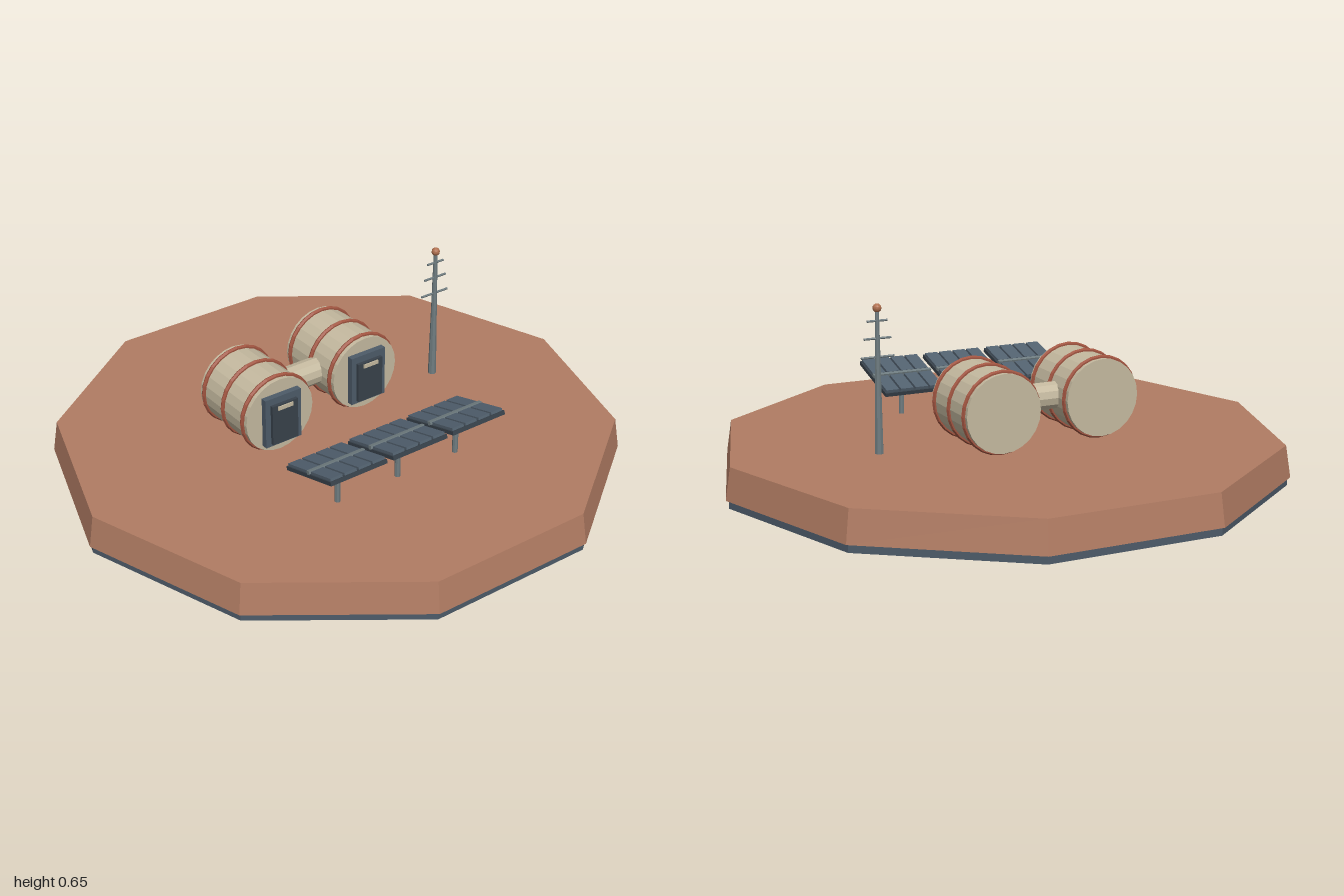
import * as THREE from 'three';

const mat = (name, color) => {
  const m = new THREE.MeshStandardMaterial({ color, flatShading: true });
  m.name = name;
  return m;
};

export function createModel() {
  const soil = mat('rust soil', 0xb17c63);
  const slate = mat('slate', 0x4d5b69);
  const shell = mat('cream shell', 0xc4b99f);
  const band = mat('rust band', 0xa05440);
  const dark = mat('dark frame', 0x38424b);
  const cell = mat('solar cell', 0x52616f);
  const steel = mat('grey steel', 0x6f7c80);
  const copper = mat('copper', 0xb0704f);

  const root = new THREE.Group();
  root.name = 'outpost';
  const group = (name, x, y, z, parent = root) => {
    const g = new THREE.Group();
    g.name = name;
    g.position.set(x, y, z);
    parent.add(g);
    return g;
  };
  const add = (parent, name, geo, material, x = 0, y = 0, z = 0) => {
    const m = new THREE.Mesh(geo, material);
    m.name = name;
    m.position.set(x, y, z);
    parent.add(m);
    return m;
  };
  const box = (w, h, d) => new THREE.BoxGeometry(w, h, d);
  const cyl = (rt, rb, h, n, start = 0) => new THREE.CylinderGeometry(rt, rb, h, n, 1, false, start);

  // Ten-sided ground slab on a slate plinth
  const GROUND = 0.14;
  add(root, 'ground', cyl(0.982, 1, 0.112, 10, Math.PI / 10), soil, 0, 0.084);
  add(root, 'plinth', cyl(0.99, 0.99, 0.028, 10, Math.PI / 10), slate, 0, 0.014);

  // Two banded habitat drums, each with an airlock at the front
  for (const [x, z] of [[-0.27, -0.097], [0.13, -0.149]]) {
    const hab = group('habitat', x, 0.288, z);
    add(hab, 'drum', cyl(0.136, 0.136, 0.28, 24).rotateX(Math.PI / 2), shell);
    for (const dz of [-0.117, 0, 0.117])
      add(hab, 'band', new THREE.TorusGeometry(0.137, 0.009, 6, 24), band, 0, 0, dz);
    add(hab, 'doorFrame', box(0.145, 0.186, 0.024), slate, 0, -0.006, 0.15);
    add(hab, 'door', box(0.104, 0.15, 0.014), dark, 0, -0.013, 0.167);
    add(hab, 'doorWindow', box(0.062, 0.014, 0.005), shell, 0, 0.05, 0.176);
  }
  add(root, 'connector', cyl(0.048, 0.048, 0.17, 12).rotateZ(Math.PI / 2), shell, -0.067, 0.288, -0.125);

  // Three solar panels tilted toward the back
  for (const x of [-0.293, -0.043, 0.207]) {
    const unit = group('solarPanel', x, 0, 0.396);
    add(unit, 'post', cyl(0.01, 0.01, 0.135, 8), steel, 0, GROUND + 0.0675, 0.004);
    const tilt = group('panelTop', 0, 0.28, 0, unit);
    tilt.rotation.x = -0.27;
    add(tilt, 'backing', box(0.225, 0.014, 0.252), dark);
    for (let i = 0; i < 4; i++)
      for (const side of [-1, 1])
        add(tilt, 'cell', box(0.048, 0.009, 0.108), cell, (i - 1.5) * 0.056, 0.0115, side * 0.066);
    add(tilt, 'centreRail', box(0.225, 0.014, 0.014), steel, 0, 0.011, 0);
  }

  // Antenna mast
  const mast = group('mast', 0.483, 0, -0.061);
  add(mast, 'pole', cyl(0.007, 0.015, 0.485, 8), steel, 0, GROUND + 0.2425);
  for (const [y, w] of [[0.47, 0.118], [0.533, 0.096], [0.592, 0.072]])
    add(mast, 'crossbar', cyl(0.004, 0.004, w, 6).rotateZ(Math.PI / 2), steel, 0, y);
  add(mast, 'beacon', new THREE.SphereGeometry(0.015, 12, 8), copper, 0, 0.635);

  return root;
}
